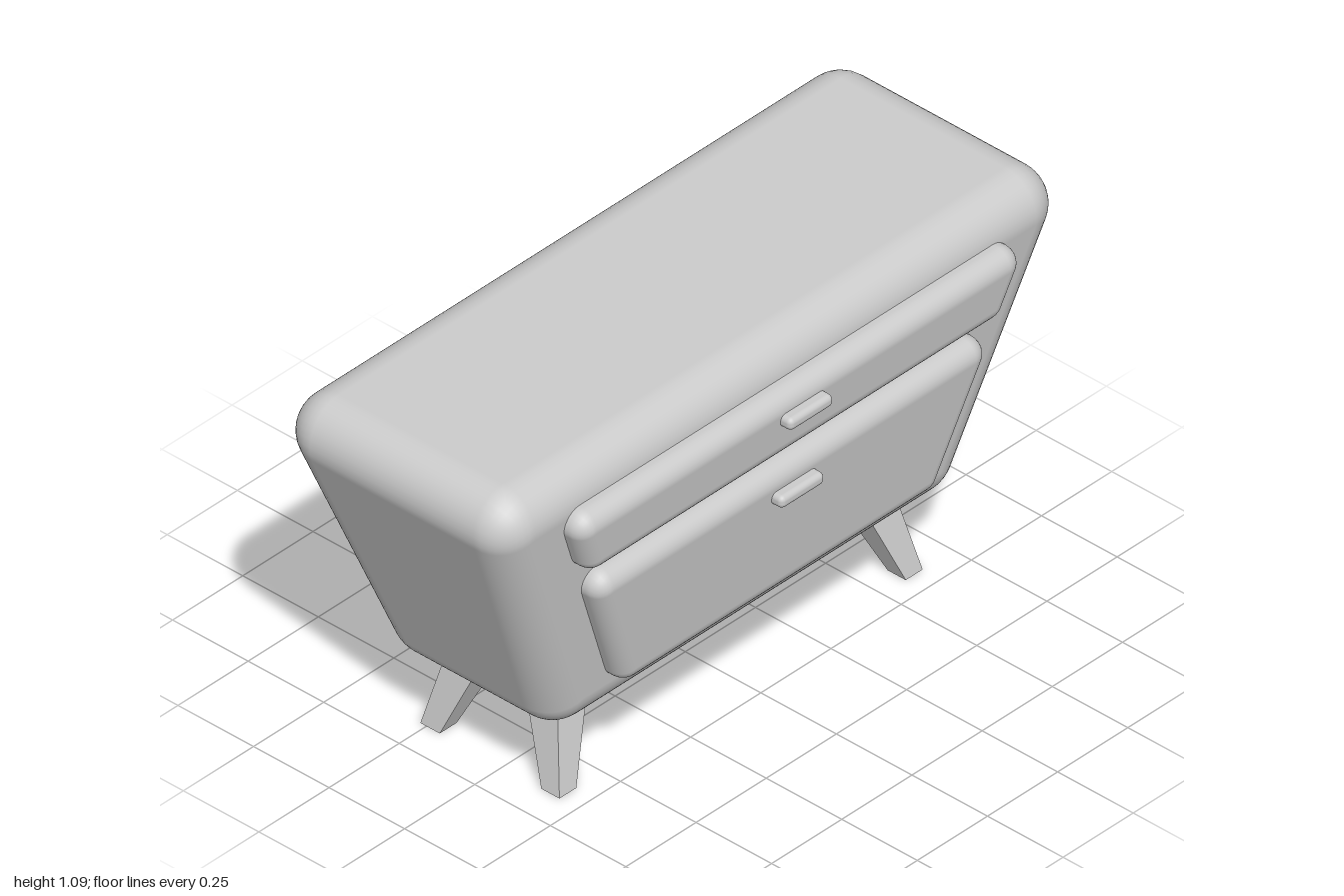
import * as THREE from 'three';
import { RoundedBoxGeometry } from 'three/addons/geometries/RoundedBoxGeometry.js';

const grey = new THREE.MeshStandardMaterial({ color: 0xcccccc });

function addMesh(parent, name, geometry) {
  const mesh = new THREE.Mesh(geometry, grey);
  mesh.name = name;
  parent.add(mesh);
  return mesh;
}

// Rounded frustum: top and bottom give the centres of the corner balls (y, half width x, front and back z)
function roundedFrustum(top, bottom, radius, segments) {
  const geometry = new RoundedBoxGeometry(1, 1, 1, segments, 0.25);
  const position = geometry.attributes.position;
  const normal = geometry.attributes.normal;
  const height = top.y - bottom.y;
  const sideTilt = (top.x - bottom.x) / height;
  const frontTilt = (top.front - bottom.front) / height;
  const backTilt = (bottom.back - top.back) / height;
  const sideNormal = new THREE.Vector3();
  const endNormal = new THREE.Vector3();
  const n = new THREE.Vector3();
  for (let i = 0; i < position.count; i++) {
    const sx = Math.sign(position.getX(i));
    const sz = Math.sign(position.getZ(i));
    const level = position.getY(i) > 0 ? top : bottom;
    // Blend the true normals of the three slanted faces that meet at this corner
    sideNormal.set(sx, -sideTilt, 0).normalize();
    endNormal.set(0, -(sz > 0 ? frontTilt : backTilt), sz).normalize();
    n.set(0, normal.getY(i), 0)
      .addScaledVector(sideNormal, Math.abs(normal.getX(i)))
      .addScaledVector(endNormal, Math.abs(normal.getZ(i)))
      .normalize();
    normal.setXYZ(i, n.x, n.y, n.z);
    position.setXYZ(
      i,
      sx * level.x + n.x * radius,
      level.y + n.y * radius,
      (sz > 0 ? level.front : level.back) + n.z * radius
    );
  }
  return geometry;
}

// Tapered, splayed square leg; ranges are [inner, outer] distances from the centre
function legGeometry(sx, sz, top, bottom) {
  const geometry = new THREE.BoxGeometry(1, 1, 1);
  const position = geometry.attributes.position;
  for (let i = 0; i < position.count; i++) {
    const level = position.getY(i) > 0 ? top : bottom;
    const x = level.x[position.getX(i) * sx > 0 ? 1 : 0];
    const z = level.z[position.getZ(i) * sz > 0 ? 1 : 0];
    position.setXYZ(i, sx * x - 0.006, level.y, sz * z);
  }
  geometry.computeVertexNormals();
  return geometry;
}

export function createModel() {
  const model = new THREE.Group();
  model.name = 'dresser';

  // Cabinet body, narrowing towards the bottom
  addMesh(model, 'body', roundedFrustum(
    { y: 0.982, x: 0.892, front: 0.226, back: -0.314 },
    { y: 0.338, x: 0.634, front: 0.149, back: -0.237 },
    0.108, 5
  ));

  // Drawer fronts, parallel to the slanted face, each with a handle
  const drawers = [
    { name: 'upperDrawer', y: [0.942, 0.845], x: 0.737, front: 0.343, handleY: 0.923, handleZ: 0.425 },
    { name: 'lowerDrawer', y: [0.705, 0.397], x: 0.645, front: 0.315, handleY: 0.676, handleZ: 0.396 },
  ];
  for (const d of drawers) {
    const group = new THREE.Group();
    group.name = d.name;
    const drop = d.y[0] - d.y[1];
    addMesh(group, d.name + 'Front', roundedFrustum(
      { y: d.y[0], x: d.x, front: d.front, back: 0.2 },
      { y: d.y[1], x: d.x - 0.4 * drop, front: d.front - 0.12 * drop, back: 0.2 - 0.12 * drop },
      0.05, 4
    ));
    const handle = addMesh(group, d.name + 'Handle', new RoundedBoxGeometry(0.156, 0.036, 0.07, 3, 0.015));
    handle.position.set(-0.004, d.handleY, d.handleZ - 0.035);
    model.add(group);
  }

  // Four splayed legs, sunk slightly into the body
  const legX = { top: [0.465, 0.586], bottom: [0.587, 0.647] };
  const legPairs = [
    { name: 'frontLeg', sz: 1, top: [0.004, 0.125], bottom: [0.13, 0.19] },
    { name: 'backLeg', sz: -1, top: [0.082, 0.205], bottom: [0.206, 0.27] },
  ];
  for (const pair of legPairs) {
    for (const sx of [1, -1]) {
      addMesh(model, pair.name + (sx > 0 ? 'Left' : 'Right'), legGeometry(
        sx, pair.sz,
        { y: 0.3, x: legX.top, z: pair.top },
        { y: 0, x: legX.bottom, z: pair.bottom }
      ));
    }
  }
  return model;
}
